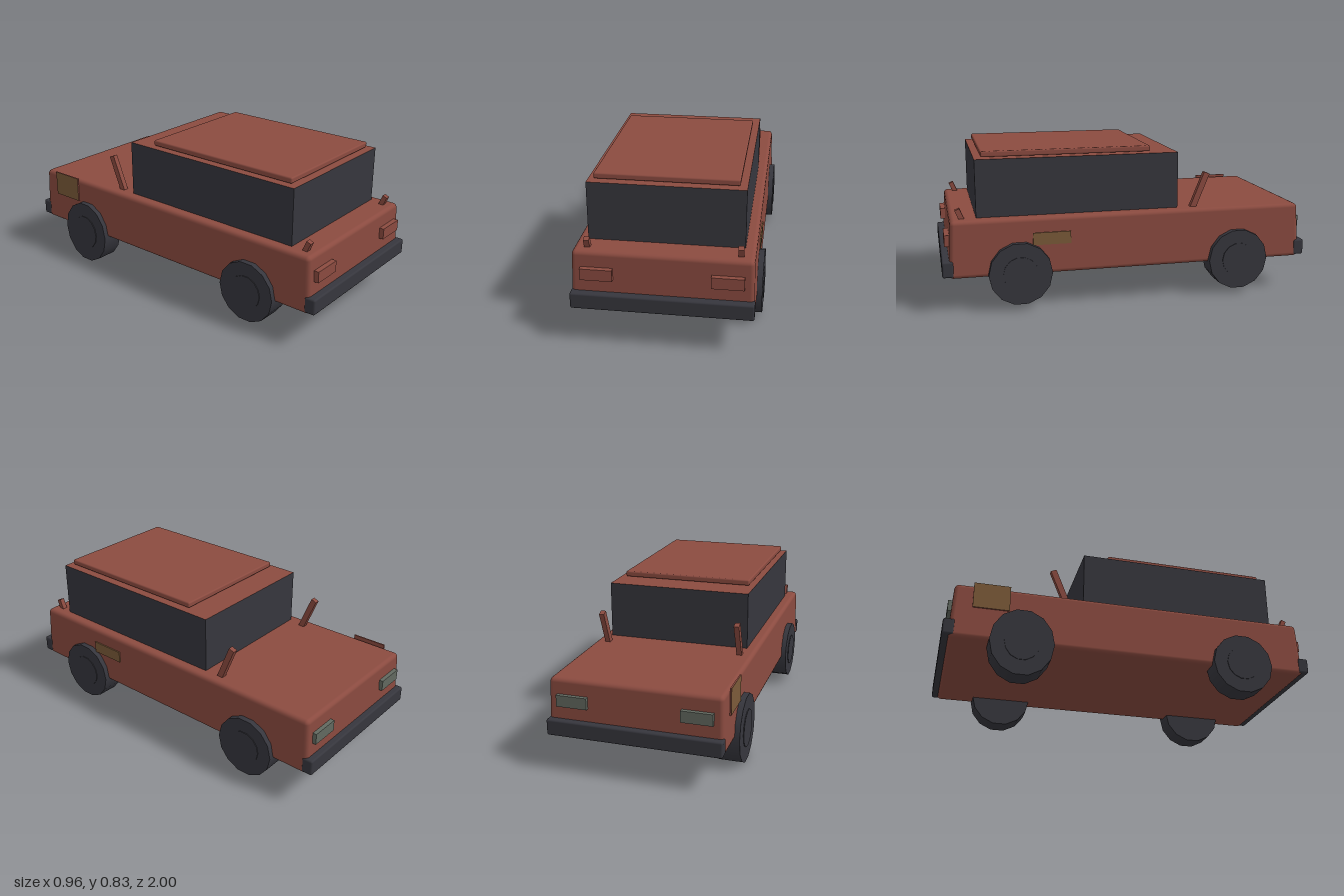
import * as THREE from 'three';
import { RoundedBoxGeometry } from 'three/addons/geometries/RoundedBoxGeometry.js';

const mat = (name, color) => {
  const m = new THREE.MeshStandardMaterial({ color });
  m.name = name;
  return m;
};

export function createModel() {
  const group = new THREE.Group();
  const paint = mat('rust red paint', 0x8b4b40);
  const dark = mat('charcoal', 0x36363d);
  const lens = mat('grey green lens', 0x626960);
  const ochre = mat('ochre panel', 0x7b5a39);

  const add = (name, geometry, material, x, y, z) => {
    const mesh = new THREE.Mesh(geometry, material);
    mesh.name = name;
    mesh.position.set(x, y, z);
    group.add(mesh);
    return mesh;
  };
  // box given by its lower and upper corners
  const box = (name, material, [x0, y0, z0], [x1, y1, z1], radius = 0) => {
    const s = [x1 - x0, y1 - y0, z1 - z0];
    const g = radius ? new RoundedBoxGeometry(...s, 2, radius) : new THREE.BoxGeometry(...s);
    return add(name, g, material, (x0 + x1) / 2, (y0 + y1) / 2, (z0 + z1) / 2);
  };

  // body, drawn in slightly towards the top
  const body = box('body', paint, [-0.45, 0.187, -0.97], [0.45, 0.49, 0.965], 0.022);
  const p = body.geometry.attributes.position;
  for (let i = 0; i < p.count; i++) {
    const k = 1 - 0.015 * Math.max(0, p.getY(i) / 0.15);
    p.setX(i, p.getX(i) * k);
    p.setZ(i, p.getZ(i) * k);
  }

  // cabin: dark glass walls with a painted top
  box('cabin', [dark, dark, paint, dark, dark, dark], [-0.39, 0.492, -0.27], [0.39, 0.795, 0.815]);
  box('roofPanel', paint, [-0.36, 0.8, -0.125], [0.355, 0.831, 0.78], 0.008);

  // bumpers
  box('frontBumper', dark, [-0.452, 0.197, 0.94], [0.452, 0.282, 1], 0.01);
  box('rearBumper', dark, [-0.452, 0.197, -1], [0.452, 0.282, -0.94], 0.01);

  // slanted post standing on the body, from base to tip in the side plane
  const post = (name, x, [z0, y0], [z1, y1], thickness) => {
    const length = Math.hypot(z1 - z0, y1 - y0);
    const m = add(name, new THREE.BoxGeometry(0.028, length, thickness), paint,
      x, (y0 + y1) / 2, (z0 + z1) / 2);
    m.rotation.x = Math.atan2(z1 - z0, y1 - y0);
  };

  for (const s of [-1, 1]) {
    const side = s > 0 ? 'left' : 'right';
    const span = s > 0 ? [0.24, 0.4] : [-0.4, -0.24];
    box(side + 'Headlight', paint, [span[0], 0.35, 0.945], [span[1], 0.41, 0.982]);
    box(side + 'TailLight', lens, [span[0], 0.35, -0.982], [span[1], 0.41, -0.95]);
    post(side + 'RearPost', s * 0.373, [-0.36, 0.485], [-0.438, 0.675], 0.033);
    post(side + 'FrontPost', s * 0.375, [0.885, 0.48], [0.91, 0.54], 0.027);

    // wheels with a faint raised hub; the rear right one sits lower
    for (const z of [-0.6, 0.6]) {
      const low = s < 0 && z < 0;
      const wheel = new THREE.Group();
      wheel.name = side + (z > 0 ? 'FrontWheel' : 'RearWheel');
      const parts = [['tyre', 0.167, 0.12, 0], ['hub', 0.092, 0.006, s * 0.061]];
      for (const [name, radius, width, x] of parts) {
        const g = new THREE.CylinderGeometry(radius, radius, width, 14);
        g.rotateZ(Math.PI / 2);
        const m = new THREE.Mesh(g, dark);
        m.name = name;
        m.position.x = x;
        wheel.add(m);
      }
      wheel.position.set(s * 0.417, low ? 0.183 : 0.2, z);
      wheel.scale.y = low ? 1.1 : 1;
      group.add(wheel);
    }
  }

  // coloured side panels
  box('rightRearPanel', [paint, ochre, paint, paint, paint, paint],
    [-0.456, 0.36, -0.86], [-0.448, 0.5, -0.67]);
  box('leftFrontPanel', ochre, [0.446, 0.345, 0.33], [0.453, 0.41, 0.53]);

  return group;
}
